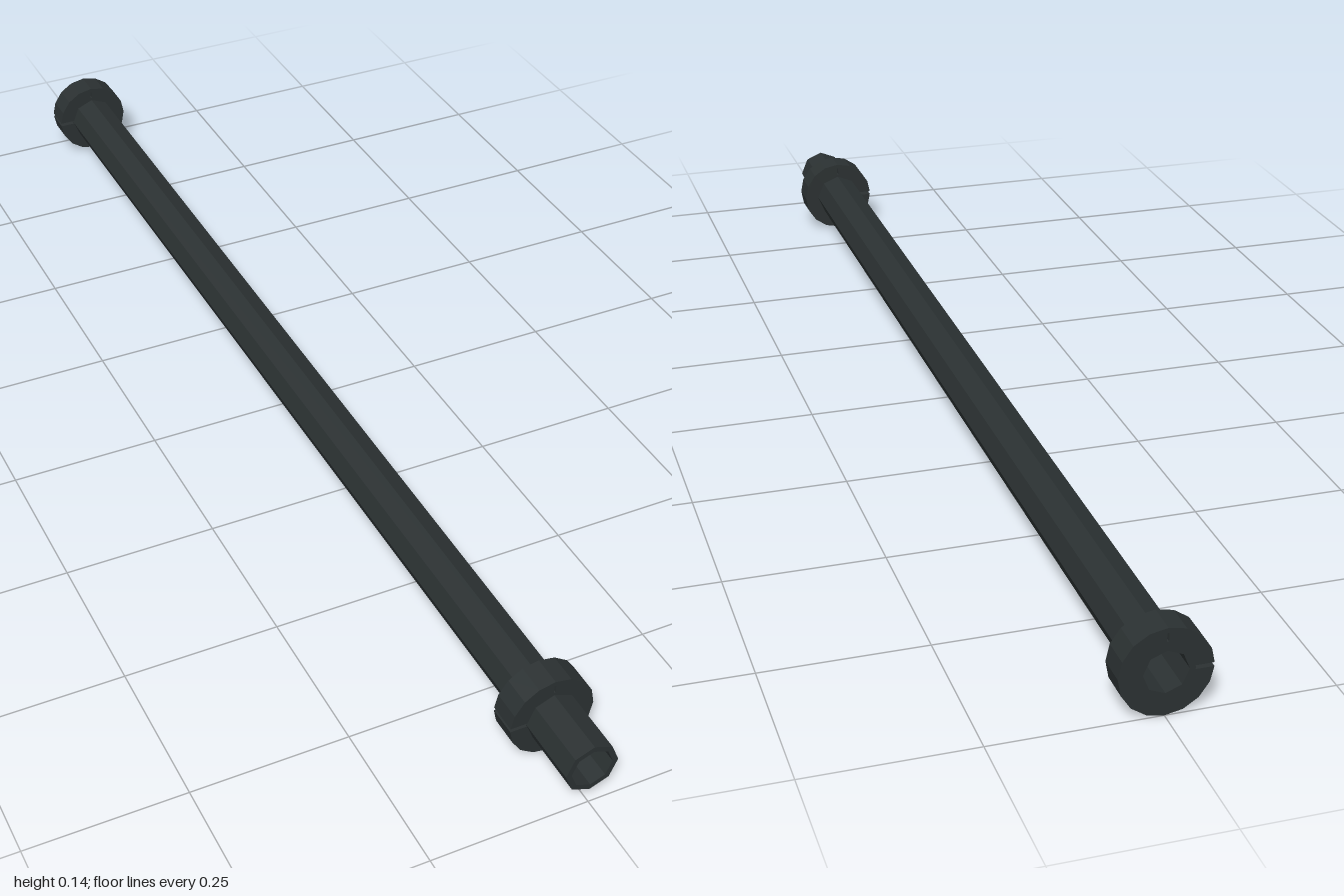
import * as THREE from 'three';

const AXIS_Y = 0.068;
const INNER = 0.033, TUBE = 0.042, COLLAR = 0.068;

function ring(radius, sides) {
  return Array.from({ length: sides }, (_, i) => {
    const a = (i / sides) * Math.PI * 2;
    return new THREE.Vector2(Math.cos(a) * radius, Math.sin(a) * radius);
  });
}

// Points from just above the -x slit, clockwise round to just below it
function openArc(radius, sides, halfGap) {
  const gap = Math.asin(halfGap / radius);
  const angles = [Math.PI - gap];
  for (let i = 1; i < sides; i++) angles.push(Math.PI - (i / sides) * Math.PI * 2);
  angles.push(-Math.PI + gap);
  return angles.map(a => new THREE.Vector2(Math.cos(a) * radius, Math.sin(a) * radius));
}

function extrude(shape, z0, z1, material, name) {
  const geometry = new THREE.ExtrudeGeometry(shape, { depth: z1 - z0, bevelEnabled: false });
  const mesh = new THREE.Mesh(geometry, material);
  mesh.position.set(0, AXIS_Y, z0);
  mesh.name = name;
  return mesh;
}

export function createModel() {
  const group = new THREE.Group();
  group.name = 'hollowShaft';
  const dark = new THREE.MeshStandardMaterial({ color: 0x2b3132, flatShading: true });

  // Hollow octagonal tube
  const tube = new THREE.Shape(ring(TUBE, 8));
  tube.holes.push(new THREE.Path(ring(INNER, 8)));
  group.add(extrude(tube, -1, 1, dark, 'tube'));

  // Split clamp collars, each with a thin relief slot at the top
  const collar = new THREE.Shape([
    ...openArc(COLLAR, 16, 0.003),
    ...openArc(TUBE - 0.003, 8, 0.003).reverse(),
  ]);
  collar.holes.push(new THREE.Path([
    new THREE.Vector2(-0.0015, 0.047), new THREE.Vector2(0.0015, 0.047),
    new THREE.Vector2(0.0015, 0.06), new THREE.Vector2(-0.0015, 0.06),
  ]));
  group.add(extrude(collar, -1, -0.953, dark, 'rearCollar'));
  group.add(extrude(collar, 0.845, 0.892, dark, 'frontCollar'));
  return group;
}
